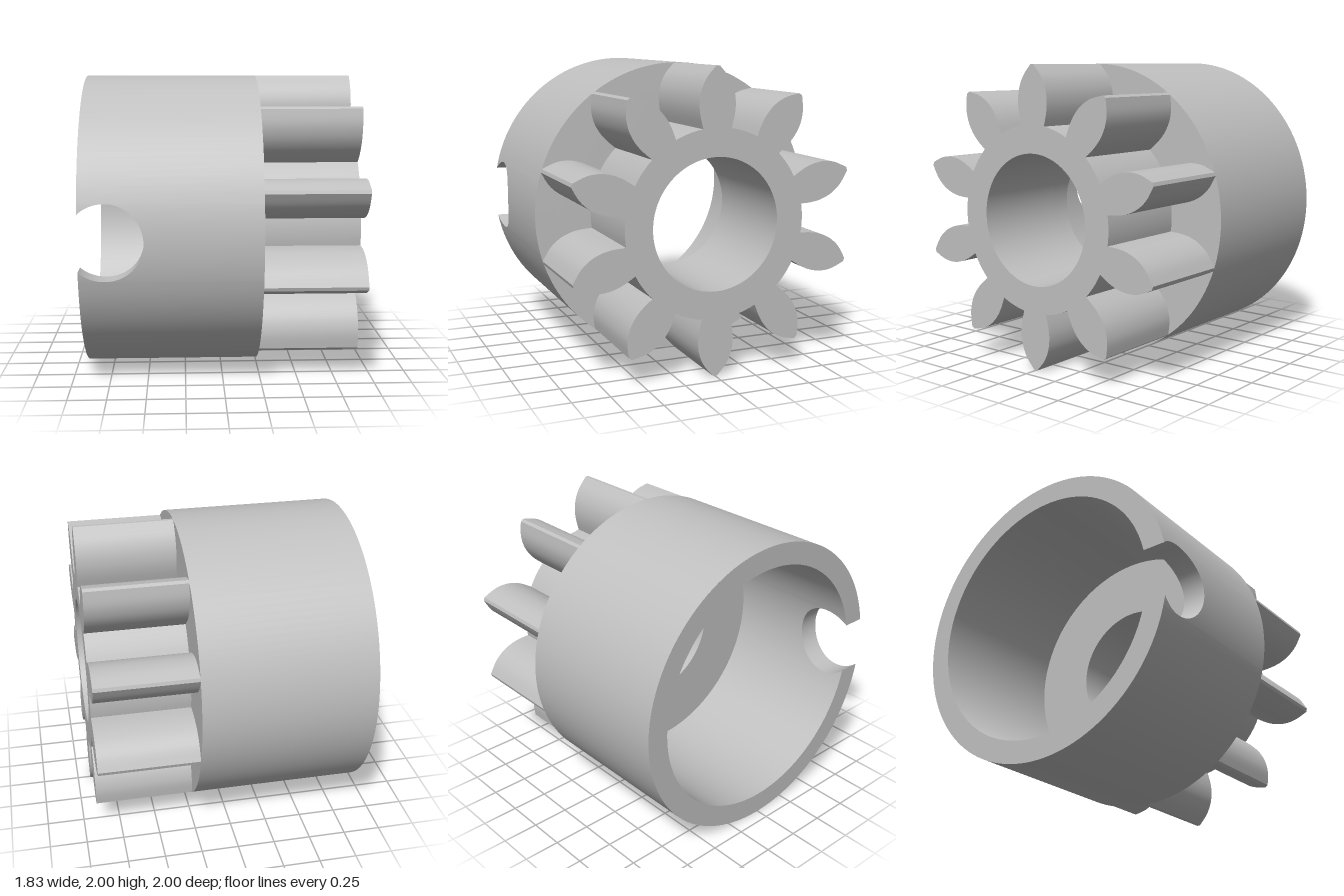
import * as THREE from 'three';
import { toCreasedNormals } from 'three/addons/utils/BufferGeometryUtils.js';

const OUTER = 1, INNER = 0.85, BORE = 0.433, ROOT = 0.618;
const OPEN_X = -0.915, FLOOR_X = 0.095, STEP_X = 0.245, END_X = 0.91;
const NOTCH_X = -0.75, NOTCH_R = 0.245, TEETH = 10;

// Curved wall piece: each column has outer and inner angles and an x range
function wallPiece(columns) {
  const pos = [], index = [];
  columns.forEach(({ outer, inner, x0, x1 }, i) => {
    const yo = OUTER * Math.sin(outer), zo = OUTER * Math.cos(outer);
    const yi = INNER * Math.sin(inner), zi = INNER * Math.cos(inner);
    pos.push(x0, yo, zo, x1, yo, zo, x1, yi, zi, x0, yi, zi);
    if (i === columns.length - 1) return;
    for (let k = 0; k < 4; k++) {
      const a = i * 4 + k, b = i * 4 + (k + 1) % 4;
      index.push(a, b, b + 4, a, b + 4, a + 4);
    }
  });
  const g = new THREE.BufferGeometry();
  g.setAttribute('position', new THREE.Float32BufferAttribute(pos, 3));
  g.setIndex(index);
  return toCreasedNormals(g, 0.5);
}

// Column list sampled over a parameter range
function sample(from, to, n, fn) {
  return Array.from({ length: n + 1 }, (_, i) => fn(from + (to - from) * i / n));
}

// Shape extruded along +x between two positions
function extrudeX(shape, x0, x1) {
  const g = new THREE.ExtrudeGeometry(shape, { depth: x1 - x0, bevelEnabled: false, curveSegments: 96 });
  g.rotateY(Math.PI / 2).translate(x0, 0, 0);
  return toCreasedNormals(g, 0.5);
}

function addBore(shape) {
  shape.holes.push(new THREE.Path().absarc(0, 0, BORE, 0, Math.PI * 2, true));
  return shape;
}

// Gear outline: leaf-shaped teeth joined by root arcs
function gearShape() {
  const flank = new THREE.SplineCurve([
    [0.097, 0.61], [0.117, 0.69], [0.124, 0.765], [0.113, 0.845], [0.077, 0.925], [0.012, 0.9995],
  ].map(([x, y]) => new THREE.Vector2(x, y))).getPoints(20);
  const tooth = [
    ...flank,
    ...flank.slice().reverse().map((p) => new THREE.Vector2(-p.x, p.y)),
  ];
  const half = Math.atan2(0.097, 0.61), pitch = Math.PI * 2 / TEETH;
  const pts = [], origin = new THREE.Vector2();
  for (let t = 0; t < TEETH; t++) {
    const turn = t * pitch;
    tooth.forEach((p) => pts.push(p.clone().rotateAround(origin, turn)));
    for (let i = 1; i < 6; i++) {
      const a = Math.PI / 2 + turn + half + (pitch - 2 * half) * i / 6;
      pts.push(new THREE.Vector2(ROOT * Math.cos(a), ROOT * Math.sin(a)));
    }
  }
  return addBore(new THREE.Shape(pts));
}

export function createModel() {
  const model = new THREE.Group();
  const grey = new THREE.MeshStandardMaterial({ color: 0xc0c0c0 });
  grey.name = 'plain grey';
  const add = (name, geometry, parent) => {
    const mesh = new THREE.Mesh(geometry, grey);
    mesh.name = name;
    parent.add(mesh);
  };

  // Hollow sleeve with a round notch at the front of its open rim
  const sleeve = new THREE.Group();
  sleeve.name = 'sleeve';
  const ao = Math.asin(NOTCH_R / OUTER), ai = Math.asin(NOTCH_R / INNER);
  add('sleeveWall', wallPiece(sample(0, 1, 120, (u) => ({
    outer: ao + (2 * Math.PI - 2 * ao) * u,
    inner: ai + (2 * Math.PI - 2 * ai) * u,
    x0: OPEN_X, x1: STEP_X,
  }))), sleeve);

  // Wall behind the notch, and the two horns beside its mouth
  const notchAngles = (t) => {
    const y = NOTCH_R * Math.sin(t);
    return { outer: Math.asin(y / OUTER), inner: Math.asin(y / INNER) };
  };
  add('notchWall', wallPiece(sample(-Math.PI / 2, Math.PI / 2, 40, (t) => ({
    ...notchAngles(t), x0: NOTCH_X + NOTCH_R * Math.cos(t), x1: STEP_X,
  }))), sleeve);
  const mouth = Math.acos((NOTCH_X - OPEN_X) / NOTCH_R);
  const horn = (t) => ({ ...notchAngles(t), x0: OPEN_X, x1: NOTCH_X - NOTCH_R * Math.cos(t) });
  add('upperNotchHorn', wallPiece(sample(mouth, Math.PI / 2, 12, horn)), sleeve);
  add('lowerNotchHorn', wallPiece(sample(-Math.PI / 2, -mouth, 12, horn)), sleeve);

  // Floor of the sleeve with the shaft hole
  const disc = new THREE.Shape().absarc(0, 0, INNER, 0, Math.PI * 2, false);
  add('sleeveFloor', extrudeX(addBore(disc), FLOOR_X, STEP_X), sleeve);
  model.add(sleeve);

  // Toothed pinion
  add('pinionGear', extrudeX(gearShape(), STEP_X, END_X), model);

  model.children.forEach((part) => { part.position.y = 1; });
  return model;
}
